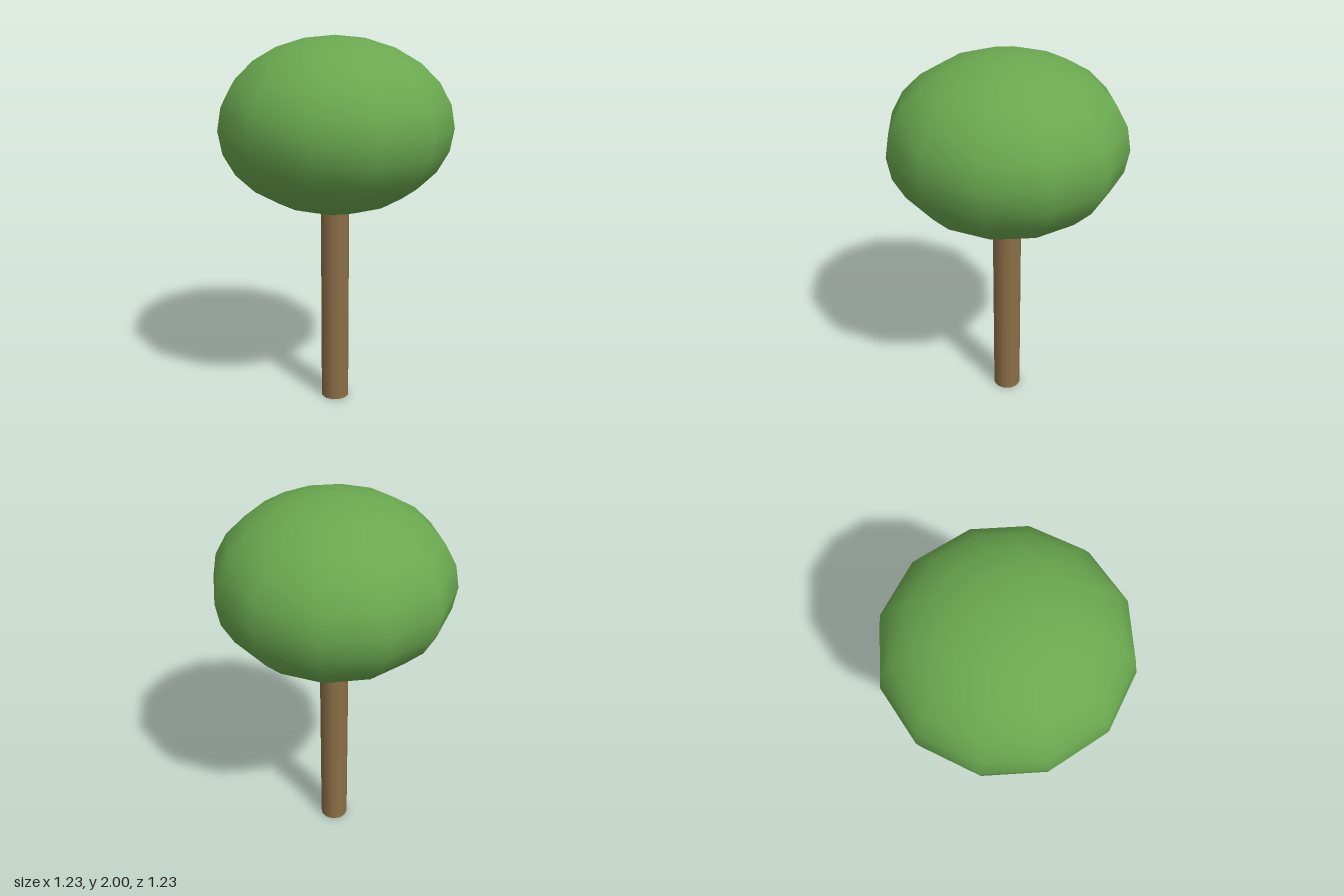
import * as THREE from 'three';

function addPart(group, name, geometry, color, y) {
  const mesh = new THREE.Mesh(geometry, new THREE.MeshStandardMaterial({ color }));
  mesh.name = name;
  mesh.position.y = y;
  group.add(mesh);
}

export function createModel() {
  const tree = new THREE.Group();
  tree.name = 'tree';

  // Straight trunk, its top slightly sunk into the crown
  const trunkHeight = 1.14;
  const trunk = new THREE.CylinderGeometry(0.077, 0.077, trunkHeight, 12);
  addPart(tree, 'trunk', trunk, 0x8b6f47, trunkHeight / 2);

  // Flattened round crown with smooth shading
  const radius = 0.615, halfHeight = 0.455;
  const crown = new THREE.SphereGeometry(radius, 12, 12);
  crown.scale(1, halfHeight / radius, 1);
  addPart(tree, 'crown', crown, 0x6aa84f, 2 - halfHeight);

  return tree;
}
